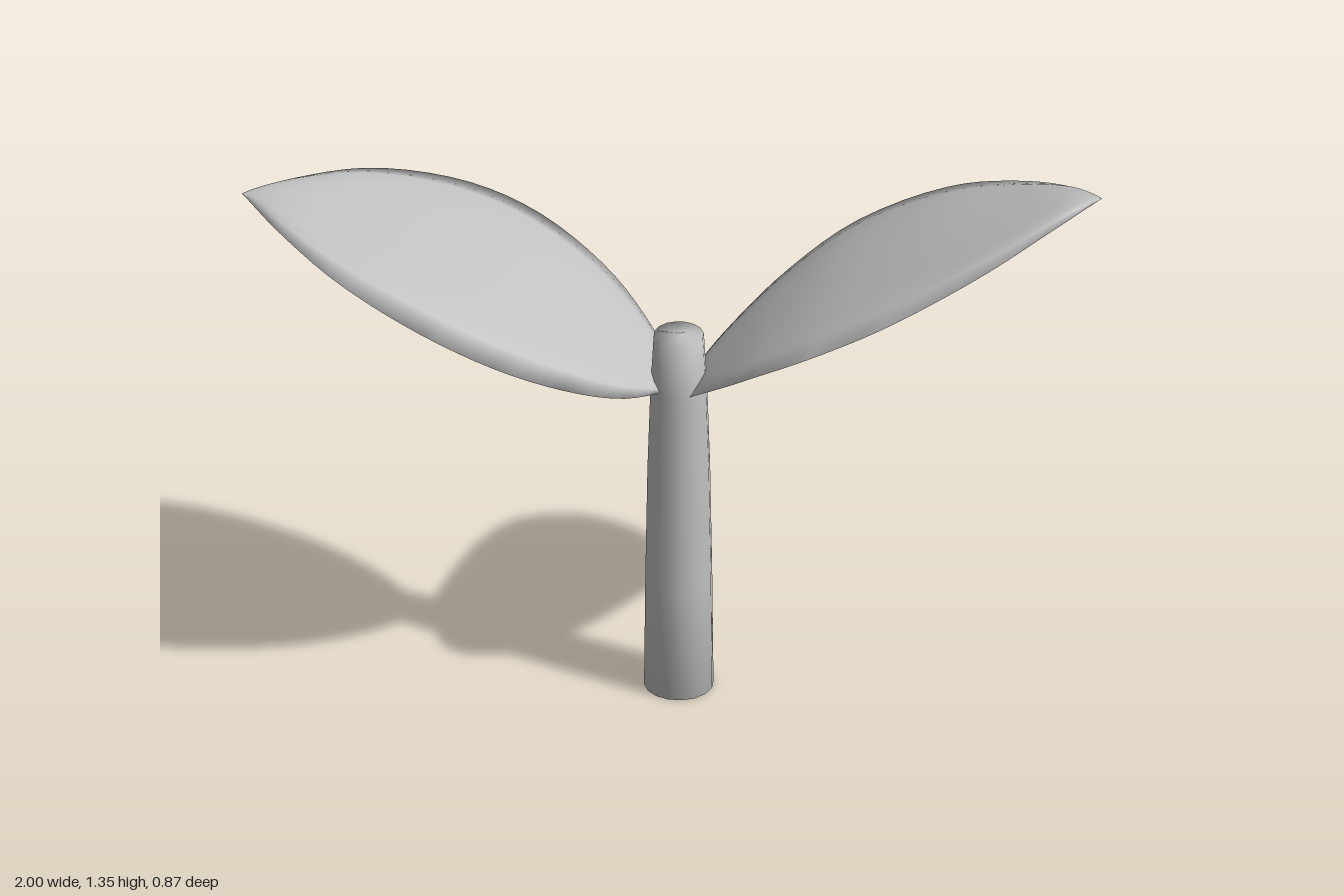
import * as THREE from 'three';

// Loft a thin closed leaf between two edge curves: upper and lower skins share a soft rim.
function leafGeometry(edgeA, edgeB, bulge, thickness = 0.014, rows = 30, cols = 10) {
  const curve = pts => new THREE.CatmullRomCurve3(pts.map(p => new THREE.Vector3(...p)));
  const a = curve(edgeA), b = curve(edgeB);
  const pos = [], index = [], ring = cols * 2;
  for (let i = 0; i <= rows; i++) {
    const u = i / rows;
    const pa = a.getPoint(u), pb = b.getPoint(u);
    const swell = Math.sqrt(Math.max(0, Math.sin(Math.PI * u)));
    for (let j = 0; j < ring; j++) {
      // Out across the upper skin, back across the lower one
      const upper = j <= cols;
      const t = upper ? j / cols : (ring - j) / cols;
      const plateau = 1 - (2 * t - 1) ** 4;
      const p = pa.clone().lerp(pb, t);
      const skin = (upper ? 0.5 : -0.5) * thickness * Math.min(1, plateau * 2);
      pos.push(p.x, p.y + swell * (bulge * plateau + skin), p.z);
      if (i < rows) {
        const k = i * ring + j, k2 = i * ring + (j + 1) % ring;
        index.push(k, k2, k + ring, k2, k2 + ring, k + ring);
      }
    }
  }
  const g = new THREE.BufferGeometry();
  g.setAttribute('position', new THREE.Float32BufferAttribute(pos, 3));
  g.setIndex(index);
  g.computeVertexNormals();
  return g;
}

export function createModel() {
  const group = new THREE.Group();
  const grey = new THREE.MeshStandardMaterial({ color: 0xc0c0c0, side: THREE.DoubleSide });
  grey.name = 'plain grey';

  const add = (name, geometry) => {
    const mesh = new THREE.Mesh(geometry, grey);
    mesh.name = name;
    group.add(mesh);
    return mesh;
  };

  // Tapered stem, smooth-shaded over its ends
  const profile = [
    [0, 0], [0.083, 0], [0.08, 0.3], [0.075, 0.6], [0.068, 0.82], [0.06, 0.968], [0, 0.97],
  ].map(p => new THREE.Vector2(...p));
  add('stem', new THREE.LatheGeometry(profile, 16)).position.set(0.042, 0, 0.039);

  // Higher leaf on the +x side: back edge, then front edge
  add('leftLeaf', leafGeometry(
    [[0.055, 0.832, -0.03], [0.1, 0.878, -0.16], [0.2, 0.975, -0.29], [0.35, 1.09, -0.39],
      [0.57, 1.2, -0.435], [0.75, 1.262, -0.41], [0.9, 1.31, -0.345], [1, 1.335, -0.275]],
    [[0.085, 0.83, 0.09], [0.2, 0.925, 0.17], [0.3, 1.0, 0.215], [0.42, 1.075, 0.235],
      [0.6, 1.175, 0.205], [0.8, 1.28, 0.08], [0.94, 1.338, -0.11], [1, 1.335, -0.275]],
    0.02));

  // Lower leaf on the -x side: front edge, then back edge
  add('rightLeaf', leafGeometry(
    [[0.02, 0.83, 0.09], [-0.05, 0.865, 0.2], [-0.15, 0.93, 0.31], [-0.3, 1.015, 0.4],
      [-0.49, 1.105, 0.433], [-0.7, 1.185, 0.395], [-0.87, 1.24, 0.305], [-1, 1.262, 0.19]],
    [[0.015, 0.835, -0.01], [-0.07, 0.895, -0.1], [-0.2, 0.98, -0.18], [-0.38, 1.08, -0.218],
      [-0.55, 1.155, -0.19], [-0.75, 1.222, -0.08], [-0.9, 1.255, 0.07], [-1, 1.262, 0.19]],
    0.022));

  return group;
}
